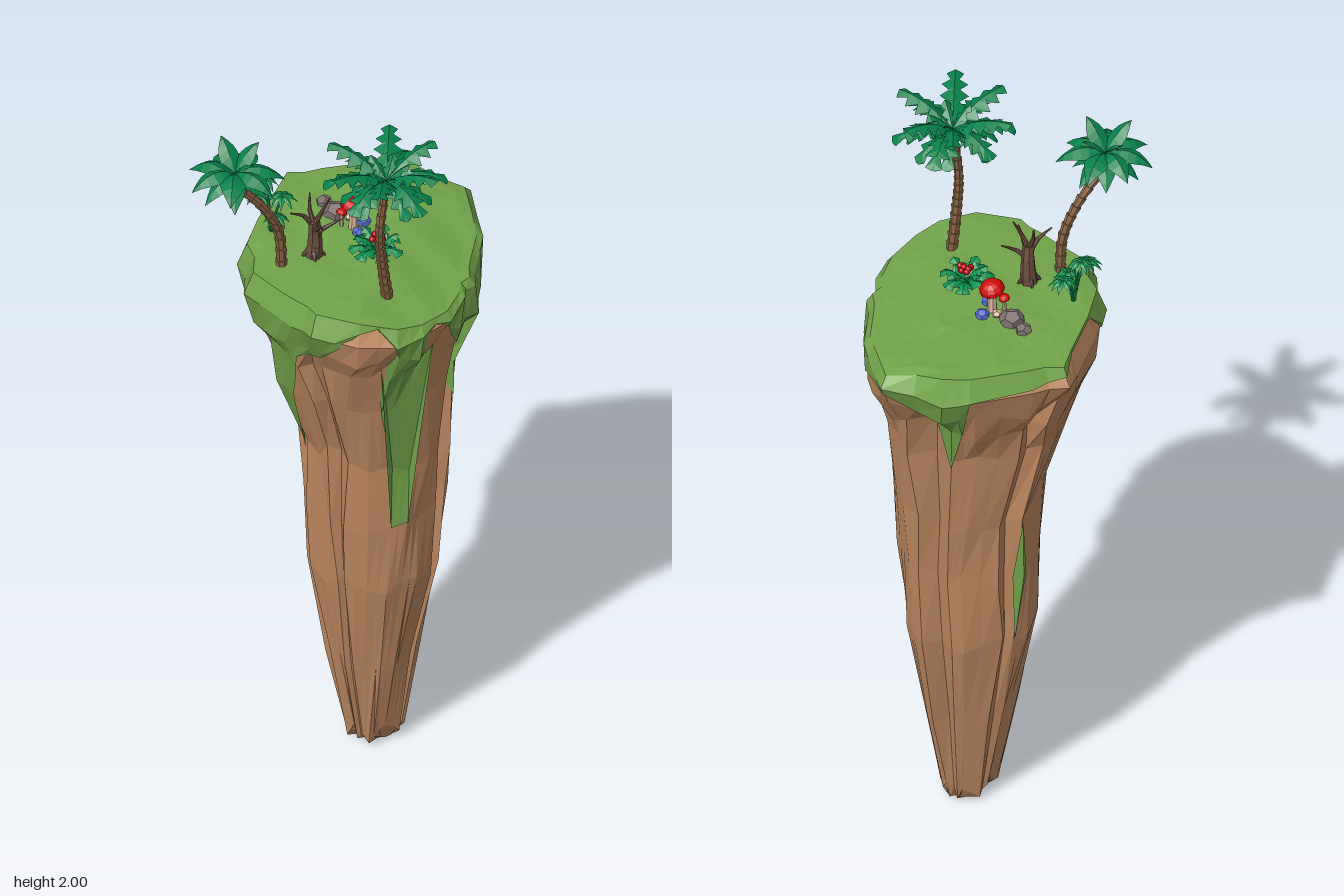
import * as THREE from 'three';

const mat = (color) => new THREE.MeshStandardMaterial({ color, flatShading: true, side: THREE.DoubleSide });
const ROCK = mat(0xbd8860), GRASS = mat(0x72a44b), LEAF = mat(0x07824c), FERN = mat(0x0c9450),
  BARK = mat(0x8a6444), DEAD = mat(0x6b4d3d), RED = mat(0xd00a0a), STONE = mat(0x7c706e),
  BLUE = mat(0x5670d4), STEM = mat(0xd8b49a);
const V = (x, y, z) => new THREE.Vector3(x, y, z);
const lerp = THREE.MathUtils.lerp;
const noise = (a, b) => { const s = Math.sin(a * 127.1 + b * 311.7) * 43758.5453; return (s - Math.floor(s)) * 2 - 1; };

function add(parent, name, geo, material, x = 0, y = 0, z = 0) {
  const m = new THREE.Mesh(geo, material);
  m.name = name;
  m.position.set(x, y, z);
  parent.add(m);
  return m;
}

// Skin between rows of points; closed rows wrap around
function loft(rows, closed = true) {
  const pos = [], t = new THREE.Triangle();
  const tri = (a, b, c) => { if (t.set(a, b, c).getArea() > 1e-8) pos.push(...a, ...b, ...c); };
  for (let k = 0; k + 1 < rows.length; k++) {
    const n = rows[k].length;
    for (let i = 0; i < (closed ? n : n - 1); i++) {
      const j = (i + 1) % n, a = rows[k], b = rows[k + 1];
      tri(a[i], a[j], b[j]);
      tri(a[i], b[j], b[i]);
    }
  }
  const g = new THREE.BufferGeometry();
  g.setAttribute('position', new THREE.Float32BufferAttribute(pos, 3));
  g.computeVertexNormals();
  return g;
}

// Island rim: x, z, height where the hanging grass ends
const RIM = [[.04, -.4, 1.54], [.13, -.36, 1.52], [.29, -.3, 1.51], [.35, -.26, 1.22], [.44, -.115, 1.49],
  [.4, -.02, 1.47], [.36, .07, 1.43], [.29, .15, 1.39], [.24, .225, 1.14], [.18, .27, 1.36], [.1, .33, 1.48],
  [0, .36, 1.55], [-.08, .36, 1.56], [-.17, .31, 1.54], [-.25, .21, 1.42], [-.26, .13, 1.38], [-.27, .07, 1.2],
  [-.29, -.05, .97], [-.235, -.17, 1.42], [-.15, -.25, 1.56], [-.02, -.35, 1.56]];
// Rock levels: y, centre x, half width, centre z, half depth
const LEVELS = [[1.565, .075, .335, -.01, .35], [1.505, .075, .36, -.015, .375], [1.43, .07, .34, -.005, .345],
  [1.34, .067, .3, -.005, .3], [1.23, .067, .26, -.01, .265], [1, .09, .213, 0, .22], [.8, .085, .195, 0, .203],
  [.58, .08, .183, 0, .185], [.3, .08, .135, 0, .125], [.04, .085, .085, 0, .072], [0, .1, .05, 0, .04]];
const CRACKS = { 1: .16, 7: .24, 15: .1, 17: .3, 29: .12, 35: .24 };

// Lawn height: gently ridged, sloping down towards the front left corner
function ground(x, z) {
  const slope = Math.max(0, (x + z) * .7 - .1) * .26;
  return Math.max(1.522, 1.57 - slope + .006 * Math.sin(22 * x + 9 * z) * Math.sin(13 * z - 15 * x + 1));
}

// Every second column is a midpoint, sunk inward where a crack runs
function rockRow([y, cx, rx, cz, rz], k) {
  const blend = k < 2 ? 0 : Math.min(.6, k * .12), rough = k < 2 ? 0 : 1, last = k === LEVELS.length - 1;
  const pts = RIM.map(([x, z], i) => {
    const u = (x - .075) / .365, w = (z + .02) / .38, len = Math.hypot(u, w);
    const r = len * lerp(1, 1 / len, blend) * (1 + .04 * rough * noise(i, k));
    const a = Math.atan2(w, u) + .07 * rough * noise(i + 4, k + 7);
    const p = V(cx + rx * r * Math.cos(a), y, cz + rz * r * Math.sin(a));
    if (k === 0) p.y = ground(p.x, p.z) - .006;
    else if (!last) p.y += (k === 1 ? .008 : .03) * noise(i + 9, k);
    return p;
  });
  return pts.flatMap((p, i) => {
    const mid = p.clone().lerp(pts[(i + 1) % pts.length], .5);
    const c = (CRACKS[2 * i + 1] || 0) * (k < 3 ? .15 : .75 + .25 * noise(i, k));
    return [p, mid.lerp(V(cx, mid.y, cz), c)];
  });
}

function island(group) {
  const rows = LEVELS.map(rockRow);
  add(group, 'rockPillar', loft([...rows, rows[0].map(() => V(.1, 0, 0))]), ROCK);

  // Uneven lawn, from the centre out to the rim
  const lawn = [0, .2, .4, .6, .8, .92].map((f) => rows[0].map((p) => {
    const x = lerp(.06, p.x, f), z = lerp(-.01, p.z, f);
    return V(x, ground(x, z) + .002, z);
  }));
  // Grass hanging over the edge, following the rock down to each drip end
  const drip = (i) => i % 2 ? (RIM[(i - 1) / 2][2] + RIM[((i + 1) / 2) % RIM.length][2]) / 2 : RIM[i / 2][2];
  const out = (p) => p.clone().add(V(p.x - .075, 0, p.z).setLength(.006));
  const skirt = rows.slice(0, 7).map((row, k) => row.map((p, i) => {
    const d = drip(i);
    let a = p, kk = k;
    while (kk > 0 && rows[kk - 1][i].y < d) kk--;
    if (kk > 0) {
      const hi = rows[kk - 1][i], lo = rows[kk][i];
      a = hi.clone().lerp(lo, lo.y >= d ? 1 : (hi.y - d) / (hi.y - lo.y));
    }
    const q = out(a);
    if (k === 0) q.y += .006;
    return q;
  }));
  add(group, 'grass', loft([...lawn, ...skirt]), GRASS);

  // Moss streak low on the back
  const [top, mid, low] = rows.slice(5, 8);
  add(group, 'mossStreak', loft([[0, 0, 0].map(() => out(top[0])),
    [out(mid[0].clone().lerp(mid[41], .6)), out(mid[0]), out(mid[0].clone().lerp(mid[1], .6))],
    [0, 0, 0].map(() => out(low[0]))], false), GRASS);
}

// Arched leaf along +x with a folded midrib; lobes give it a feathered edge
function leafGeo(len, wid, rise, droop, lobes = 0) {
  const rows = [], n = lobes ? lobes * 2 : 6;
  for (let k = 0; k <= n; k++) {
    const s = k / n, x = len * s, y = rise * s - droop * s * s;
    const env = lobes ? Math.pow(Math.sin(Math.PI * (.08 + .87 * s)), .6) : Math.sin(Math.PI * Math.pow(s, .8));
    const w = wid * Math.max(env, .02) * (lobes && k % 2 === 0 ? .4 : 1), fwd = lobes && k % 2 ? len * .07 : 0;
    rows.push([V(x + fwd, y - w * .45, -w), V(x, y, 0), V(x + fwd, y - w * .45, w)]);
  }
  return loft(rows, false);
}

// Tiers of leaves: count, length, half width, rise, droop, lobes
function crown(parent, name, at, tiers, material) {
  const g = new THREE.Group();
  g.name = name;
  g.position.copy(at);
  tiers.forEach(([count, len, wid, rise, droop, lobes], t) => {
    for (let i = 0; i < count; i++) {
      const leaf = add(g, 'leaf', leafGeo(len * (1 + .06 * noise(i, t)), wid, rise, droop, lobes), material);
      leaf.rotation.y = (i + t * .5) / count * Math.PI * 2 + .15 * noise(i, t + 5);
    }
  });
  parent.add(g);
}

// Flared segments stacked along a curve
function trunk(parent, name, pts, r0, r1, n, flare, material) {
  const curve = new THREE.CatmullRomCurve3(pts.map((p) => V(...p)));
  for (let i = 0; i < n; i++) {
    const a = curve.getPoint(i / n), b = curve.getPoint((i + 1) / n), d = b.clone().sub(a);
    const ra = lerp(r0, r1, i / n), rb = lerp(r0, r1, (i + 1) / n);
    const m = add(parent, name, new THREE.CylinderGeometry(rb * flare, ra / flare, d.length() * 1.08, 7), material);
    m.position.copy(a.lerp(b, .5));
    m.quaternion.setFromUnitVectors(V(0, 1, 0), d.normalize());
  }
}

function stone(parent, name, r, x, y, z, sy, material) {
  const m = add(parent, name, new THREE.DodecahedronGeometry(r), material, x, y, z);
  m.scale.y = sy;
  m.rotation.y = x * 40 + z * 17;
}

function mushroom(parent, x, z, h, r) {
  add(parent, 'mushroomStem', new THREE.CylinderGeometry(r * .3, r * .4, h, 7), STEM, x, 1.565 + h / 2, z);
  const cap = add(parent, 'mushroomCap', new THREE.SphereGeometry(r, 10, 4, 0, Math.PI * 2, 0, Math.PI / 2), RED, x, 1.56 + h, z);
  cap.scale.y = .85;
  cap.rotation.z = -.25;
}

export function createModel() {
  const model = new THREE.Group();
  model.name = 'floatingIsland';
  island(model);

  // Tall feathered palm at the front
  trunk(model, 'tallPalmTrunk', [[-.02, 1.55, .22], [-.04, 1.68, .225], [-.05, 1.78, .23], [-.03, 1.93, .23]], .015, .01, 14, 1.18, BARK);
  crown(model, 'tallPalmCrown', V(-.03, 1.935, .23), [[6, .16, .038, .14, .075, 5], [6, .158, .038, .1, .115, 5],
    [7, .115, .03, .02, .075, 4], [5, .06, .02, .07, .02, 3]], LEAF);

  // Leaning broad-leaved palm
  trunk(model, 'leaningPalmTrunk', [[-.185, 1.55, -.03], [-.195, 1.68, -.03], [-.24, 1.77, -.035], [-.31, 1.86, -.045], [-.318, 1.895, -.045]], .014, .01, 15, 1.18, BARK);
  crown(model, 'leaningPalmCrown', V(-.318, 1.9, -.045), [[4, .08, .028, .13, .06, 0], [7, .122, .034, .1, .12, 0],
    [6, .09, .028, .02, .085, 0]], LEAF);

  // Dead tree
  trunk(model, 'deadTreeTrunk', [[-.095, 1.56, -.02], [-.09, 1.62, -.02], [-.095, 1.68, -.015]], .024, .015, 3, 1, DEAD);
  [[[-.095, 1.66, -.018], [-.12, 1.7, -.025], [-.158, 1.72, -.03]], [[-.095, 1.67, -.015], [-.085, 1.71, 0], [-.065, 1.755, .01]],
    [[-.093, 1.64, -.015], [-.07, 1.665, .005], [-.035, 1.685, .02]], [[-.095, 1.65, -.015], [-.1, 1.68, .015], [-.11, 1.7, .05]],
    [[-.095, 1.67, -.015], [-.1, 1.71, -.03], [-.09, 1.75, -.045]]].forEach((p) => trunk(model, 'deadTreeBranch', p, .009, .002, 4, 1, DEAD));
  for (let i = 0; i < 4; i++) {
    const a = i * 1.57 + .4, c = Math.cos(a), s = Math.sin(a);
    trunk(model, 'deadTreeRoot', [[-.095, 1.6, -.02], [-.095 + c * .02, 1.58, -.02 + s * .02], [-.095 + c * .03, 1.565, -.02 + s * .03]], .01, .003, 3, 1, DEAD);
  }

  // Slender plant with leaf clusters
  [[-.165, 1.7, -.175, .042], [-.095, 1.665, -.17, .042], [-.14, 1.645, -.125, .035], [-.135, 1.72, -.19, .036]].forEach(([x, y, z, r]) => {
    trunk(model, 'plantStem', [[-.135, 1.565, -.16], [lerp(-.135, x, .4), lerp(1.565, y, .6), lerp(-.16, z, .4)], [x, y, z]], .004, .003, 4, 1, FERN);
    crown(model, 'plantLeaves', V(x, y, z), [[9, r, .008, .025, .045, 0]], FERN);
  });

  // Berry bush
  crown(model, 'berryBush', V(.047, 1.575, .062), [[7, .072, .028, .08, .065, 3], [6, .055, .024, .1, .05, 3], [5, .035, .018, .075, .03, 0]], FERN);
  for (let i = 0; i < 6; i++)
    add(model, 'berry', new THREE.IcosahedronGeometry(.009, 1), RED, .045 + .015 * noise(i, 1), 1.62 + .008 * noise(i, 2), .068 + .02 * noise(i, 3));

  // Mushrooms and stones
  mushroom(model, .055, -.065, .076, .034);
  mushroom(model, .033, -.088, .052, .015);
  stone(model, 'blueStone', .019, .09, 1.575, -.07, .8, BLUE);
  stone(model, 'blueStone', .016, .05, 1.578, -.035, .8, BLUE);
  stone(model, 'paleStone', .014, .064, 1.583, -.098, .8, STEM);
  stone(model, 'greyStone', .034, .045, 1.582, -.138, .75, STONE);
  stone(model, 'greyStone', .023, .045, 1.58, -.19, .75, STONE);
  return model;
}
